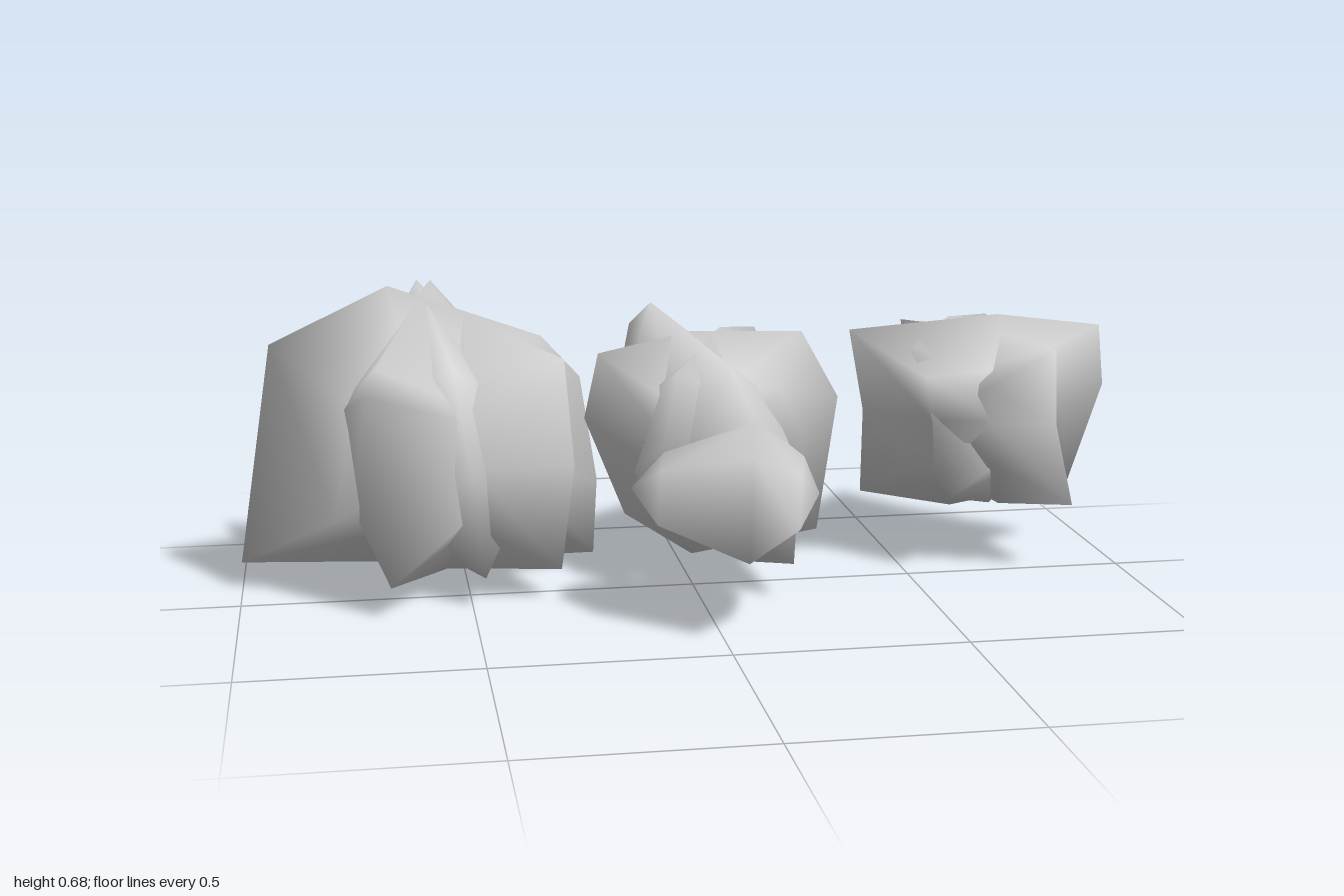
import * as THREE from 'three';

const stone = new THREE.MeshStandardMaterial({ color: 0xcccccc });
stone.name = 'grey stone';

// Faceted lens standing on the line from a to b (x, z pairs).
// bulge: thickness to either side; lean: x, z shift per unit of height;
// outline: counterclockwise [fraction along the line, height].
function lens(name, a, b, bulge, lean, outline) {
  const n = outline.length;
  const dx = b[0] - a[0], dz = b[1] - a[1], len = Math.hypot(dx, dz);
  const nx = -dz / len, nz = dx / len;
  const cu = 0.5, cv = outline.reduce((s, p) => s + p[1], 0) / n;
  const pos = [], idx = [];
  const put = (u, v, d) => pos.push(
    a[0] + dx * u + nx * d + lean[0] * (v - cv), v, a[1] + dz * u + nz * d + lean[1] * (v - cv));
  const ring = (s, d) => outline.forEach(([u, v]) => put(cu + (u - cu) * s, cv + (v - cv) * s, d));
  // rim shared by both faces, so shading runs smoothly round the edge
  ring(1, 0);
  [1, -1].forEach((side, k) => {
    const start = pos.length / 3;
    ring(0.52, side * bulge[k] * 0.74);
    put(cu, cv, side * bulge[k]);
    const tip = start + n;
    for (let i = 0; i < n; i++) {
      const j = (i + 1) % n;
      const tris = [[i, j, start + j], [i, start + j, start + i], [start + i, start + j, tip]];
      for (const [p, q, r] of tris) idx.push(...(side > 0 ? [p, q, r] : [p, r, q]));
    }
  });
  const g = new THREE.BufferGeometry();
  g.setAttribute('position', new THREE.Float32BufferAttribute(pos, 3));
  g.setIndex(idx);
  g.computeVertexNormals();
  const mesh = new THREE.Mesh(g, stone);
  mesh.name = name;
  return mesh;
}

function clump(name, shards) {
  const group = new THREE.Group();
  group.name = name;
  shards.forEach(([a, b, t, lean, outline], i) =>
    group.add(lens('shard' + (i + 1), a, b, [t, t], lean, outline)));
  return group;
}

export function createModel() {
  const model = new THREE.Group();
  model.name = 'rocks';

  // Large clump of four crossing shards
  model.add(clump('largeClump', [
    [[-1, -0.11], [-0.19, -0.2], 0.21, [0, 0.1],
      [[0, 0.06], [0.5, 0.03], [0.99, 0.02], [1, 0.2], [0.95, 0.45], [0.84, 0.55], [0.42, 0.68], [0.1, 0.56]]],
    [[-0.86, -0.35], [-0.27, 0.06], 0.2, [0.06, -0.08],
      [[0.05, 0.08], [0.5, 0.03], [0.97, 0.07], [1, 0.3], [0.95, 0.53], [0.5, 0.63], [0.08, 0.53], [0, 0.35]]],
    [[-0.71, 0.18], [-0.43, -0.41], 0.19, [-0.06, -0.03],
      [[0.06, 0.07], [0.5, 0.03], [0.95, 0.0], [1, 0.4], [0.95, 0.53], [0.6, 0.68], [0.1, 0.54], [0, 0.49]]],
    [[-0.5, 0.13], [-0.59, -0.46], 0.17, [-0.12, 0],
      [[0.03, 0.07], [0.5, 0.02], [0.95, 0.08], [1, 0.4], [0.93, 0.52], [0.55, 0.68], [0.08, 0.53], [0, 0.3]]],
  ]));

  // Middle clump
  model.add(clump('middleClump', [
    [[-0.23, -0.11], [0.375, -0.2], 0.18, [0, 0.15],
      [[0.16, 0.13], [0.43, 0.015], [0.94, 0.05], [1, 0.38], [0.84, 0.545], [0.4, 0.56], [0.05, 0.52], [0, 0.37]]],
    [[-0.08, 0.09], [0.2, -0.39], 0.16, [0.12, 0],
      [[0.03, 0.17], [0.5, 0.06], [0.95, 0.1], [1, 0.35], [0.95, 0.52], [0.5, 0.56], [0.05, 0.5], [0, 0.35]]],
    [[0.15, 0.16], [-0.05, -0.36], 0.17, [-0.25, -0.05],
      [[0.05, 0.08], [0.45, 0.03], [0.95, 0.15], [1, 0.38], [0.95, 0.54], [0.7, 0.61], [0.15, 0.51], [0, 0.3]]],
  ]));

  // Small clump
  model.add(clump('smallClump', [
    [[0.37, -0.13], [1, -0.15], 0.175, [0, 0.3],
      [[0.1, 0.15], [0.46, 0.1], [0.92, 0.15], [1, 0.4], [0.95, 0.55], [0.55, 0.585], [0, 0.56], [0.08, 0.36]]],
    [[0.54, 0.02], [0.83, -0.37], 0.15, [-0.22, -0.12],
      [[0.05, 0.18], [0.5, 0.12], [0.95, 0.17], [0.95, 0.35], [1, 0.53], [0.5, 0.56], [0, 0.53], [0.05, 0.35]]],
    [[0.58, -0.32], [0.84, 0.08], 0.15, [-0.2, 0.08],
      [[0.05, 0.18], [0.5, 0.12], [0.97, 0.16], [0.94, 0.35], [1, 0.53], [0.5, 0.55], [0.03, 0.54], [0.05, 0.35]]],
  ]));

  // Single low boulder in front, rounder on its right side
  model.add(lens('boulder', [0.04, 0.465], [0.14, 0.12], [0.13, 0.27], [0, 0],
    [[0, 0.18], [0.5, 0.165], [0.95, 0.175], [1, 0.29], [0.82, 0.38], [0.55, 0.435], [0.24, 0.38]]));

  return model;
}
